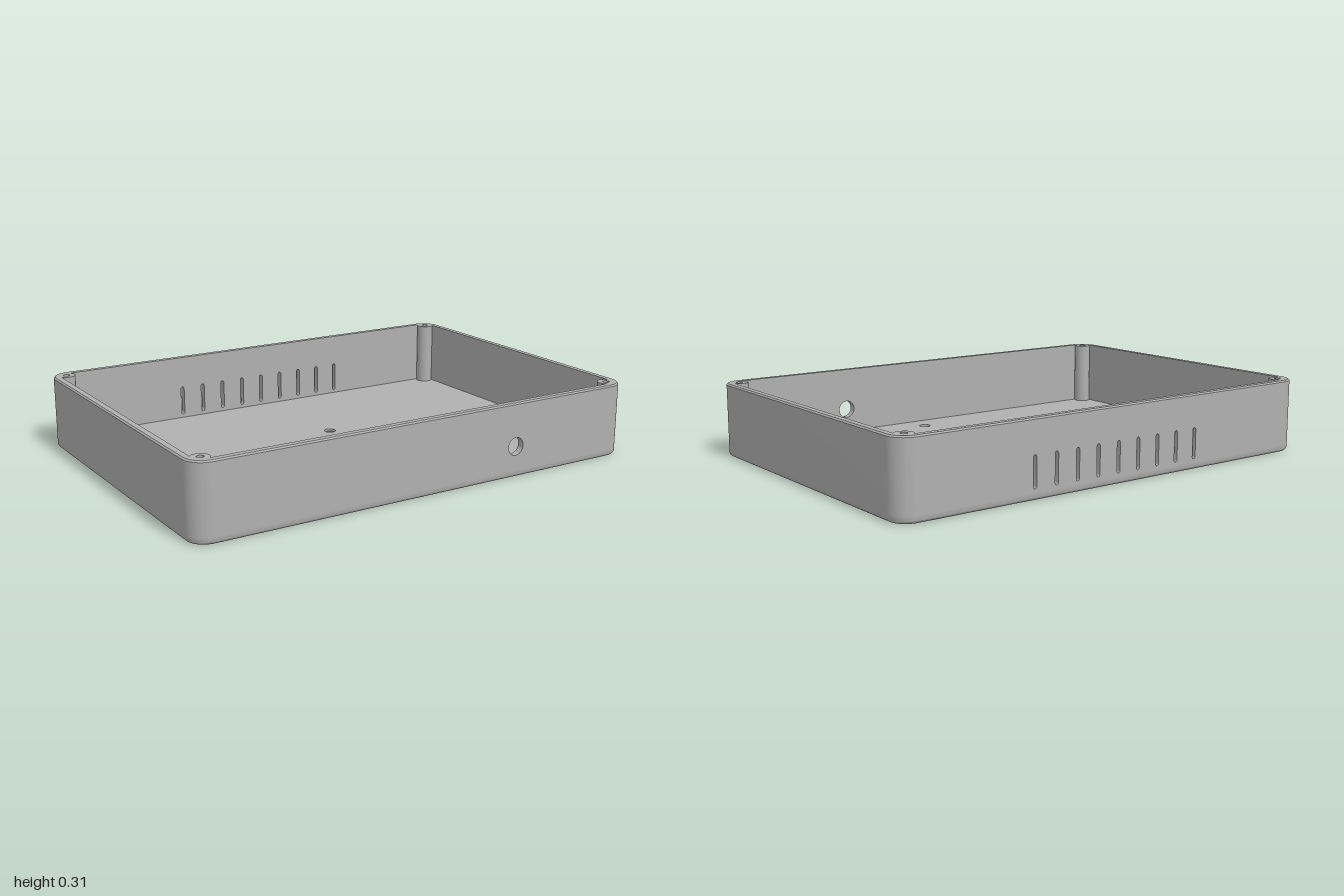
import * as THREE from 'three';
import { toCreasedNormals } from 'three/addons/utils/BufferGeometryUtils.js';

const HX = 1, HZ = 0.703, TOP = 0.31, FLOOR = 0.03, WALL = 0.03, R = 0.08;
const RIM = 0.304, FILLET = 0.018, SEAM = 0.88;
const POST = { x: 0.94, y: 0.645, r: 0.037, bore: 0.014 };
const SIGNS = [[1, 1], [-1, 1], [-1, -1], [1, -1]];

// Plan drawings use (x, -z); rotating lays them flat with height going up.
const layFlat = (geo, h = 0) => toCreasedNormals(geo.rotateX(-Math.PI / 2).translate(0, h, 0), 0.7);

const circle = (cx, cy, r, n = 32) => Array.from({ length: n }, (_, i) => {
  const a = (i / n) * Math.PI * 2;
  return new THREE.Vector2(cx + r * Math.cos(a), cy + r * Math.sin(a));
});

// One rounded outer corner, counter-clockwise
function outerCorner(q, inset = 0) {
  const [sx, sy] = SIGNS[q];
  return Array.from({ length: 13 }, (_, i) => {
    const a = (q + i / 12) * Math.PI / 2;
    return new THREE.Vector2(sx * (HX - R) + (R - inset) * Math.cos(a), sy * (HZ - R) + (R - inset) * Math.sin(a));
  });
}

// One cavity corner, wrapping the inner side of a screw post
function cavityCorner(q) {
  const [sx, sy] = SIGNS[q];
  const start = -Math.acos((HX - WALL - POST.x) / POST.r);
  const end = Math.PI - Math.asin((HZ - WALL - POST.y) / POST.r) - Math.PI * 2;
  const pts = Array.from({ length: 25 }, (_, i) => {
    const a = start + (end - start) * i / 24;
    return new THREE.Vector2(sx * (POST.x + POST.r * Math.cos(a)), sy * (POST.y + POST.r * Math.sin(a)));
  });
  return sx * sy < 0 ? pts.reverse() : pts;
}

const outline = (inset) => [0, 1, 2, 3].flatMap((q) => outerCorner(q, inset));
const cavity = () => [0, 1, 2, 3].flatMap(cavityCorner);

function shapeWith(points, holes) {
  const shape = new THREE.Shape(points);
  shape.holes = holes.map((h) => new THREE.Path(h));
  return shape;
}

// Skin between closed loops: rising heights face outward, falling heights face inward
function loft(rings) {
  const n = rings[0][0].length, pos = [], idx = [];
  rings.forEach(([pts, h]) => pts.forEach((p) => pos.push(p.x, p.y, h)));
  for (let k = 0; k < rings.length - 1; k++) {
    for (let i = 0; i < n; i++) {
      const a = k * n + i, b = k * n + (i + 1) % n;
      idx.push(a, b, b + n, a, b + n, a + n);
    }
  }
  const geo = new THREE.BufferGeometry();
  geo.setAttribute('position', new THREE.Float32BufferAttribute(pos, 3));
  geo.setIndex(idx);
  return layFlat(geo);
}

// Upright slot with round ends
function slot(x, y0, y1, r) {
  const pts = [];
  for (let i = 0; i <= 8; i++) pts.push(new THREE.Vector2(x + r * Math.cos(i * Math.PI / 8), y1 - r + r * Math.sin(i * Math.PI / 8)));
  for (let i = 8; i <= 16; i++) pts.push(new THREE.Vector2(x + r * Math.cos(i * Math.PI / 8), y0 + r + r * Math.sin(i * Math.PI / 8)));
  return pts;
}

export function createModel() {
  const model = new THREE.Group();
  model.name = 'enclosureBase';
  const grey = new THREE.MeshStandardMaterial({ color: 0xb0b0b0 });
  grey.name = 'grey plastic';
  const add = (name, geo) => {
    const mesh = new THREE.Mesh(geo, grey);
    mesh.name = name;
    model.add(mesh);
    return mesh;
  };

  // Floor with two countersunk mounting holes
  const mounts = [[0.07, 0.145], [0.07, -0.565]];
  const mountHoles = (r) => mounts.map(([x, y]) => circle(x, y, r));
  add('floorInside', layFlat(new THREE.ShapeGeometry(shapeWith(outline(0.005), mountHoles(0.025))), FLOOR));
  const underside = new THREE.ShapeGeometry(shapeWith(outline(FILLET), mountHoles(0.043)));
  underside.setIndex(Array.from(underside.index.array).reverse());
  underside.computeVertexNormals();
  add('floorUnderside', layFlat(underside));
  mounts.forEach(([x, y]) => add('countersink', loft([
    [circle(x, y, 0.025), FLOOR], [circle(x, y, 0.025), 0.02], [circle(x, y, 0.043), 0],
  ])));

  // Rounded bottom edge
  const edge = [];
  for (let i = 0; i <= 5; i++) {
    const a = i * Math.PI / 10;
    edge.push([outline(FILLET * (1 - Math.sin(a))), FILLET * (1 - Math.cos(a))]);
  }
  edge.push([outline(0), FLOOR]);
  add('bottomEdge', loft(edge));

  // Side walls with corners and bored screw posts
  const v = (x, y) => new THREE.Vector2(x, y);
  const sidePlan = [
    ...outerCorner(3), ...outerCorner(0), v(SEAM, HZ), v(SEAM, HZ - WALL),
    ...cavityCorner(0).reverse(), ...cavityCorner(3).reverse(), v(SEAM, WALL - HZ), v(SEAM, -HZ),
  ];
  const bores = [1, -1].map((s) => circle(POST.x, s * POST.y, POST.bore, 20));
  const sideGeo = layFlat(new THREE.ExtrudeGeometry(shapeWith(sidePlan, bores), { depth: RIM - FLOOR, bevelEnabled: false }), FLOOR);
  add('leftWall', sideGeo);
  add('rightWall', sideGeo).rotation.y = Math.PI;

  // Front wall with cable hole, back wall with a row of vents
  const wall = (name, holes, z) => {
    const rect = [v(-SEAM, FLOOR), v(SEAM, FLOOR), v(SEAM, RIM), v(-SEAM, RIM)];
    const geo = new THREE.ExtrudeGeometry(shapeWith(rect, holes), { depth: WALL, bevelEnabled: false });
    add(name, toCreasedNormals(geo.translate(0, 0, z), 0.7));
  };
  wall('frontWall', [circle(0.415, 0.13, 0.037)], HZ - WALL);
  const vents = Array.from({ length: 9 }, (_, i) => slot(0.015 + (i - 4) * 0.101, 0.045, 0.173, 0.008));
  wall('backWall', vents, -HZ);

  // Top rim with a fine chamfer outside
  const chamfer = TOP - RIM;
  const rimBores = SIGNS.map(([sx, sy]) => circle(sx * POST.x, sy * POST.y, POST.bore, 20));
  add('rimTop', layFlat(new THREE.ShapeGeometry(shapeWith(outline(chamfer), [cavity(), ...rimBores])), TOP));
  add('rimChamfer', loft([[outline(0), RIM], [outline(chamfer), TOP]]));
  add('rimInside', loft([[cavity(), TOP], [cavity(), RIM]]));
  rimBores.forEach((b) => add('screwHole', loft([[b, TOP], [b, RIM]])));

  return model;
}
